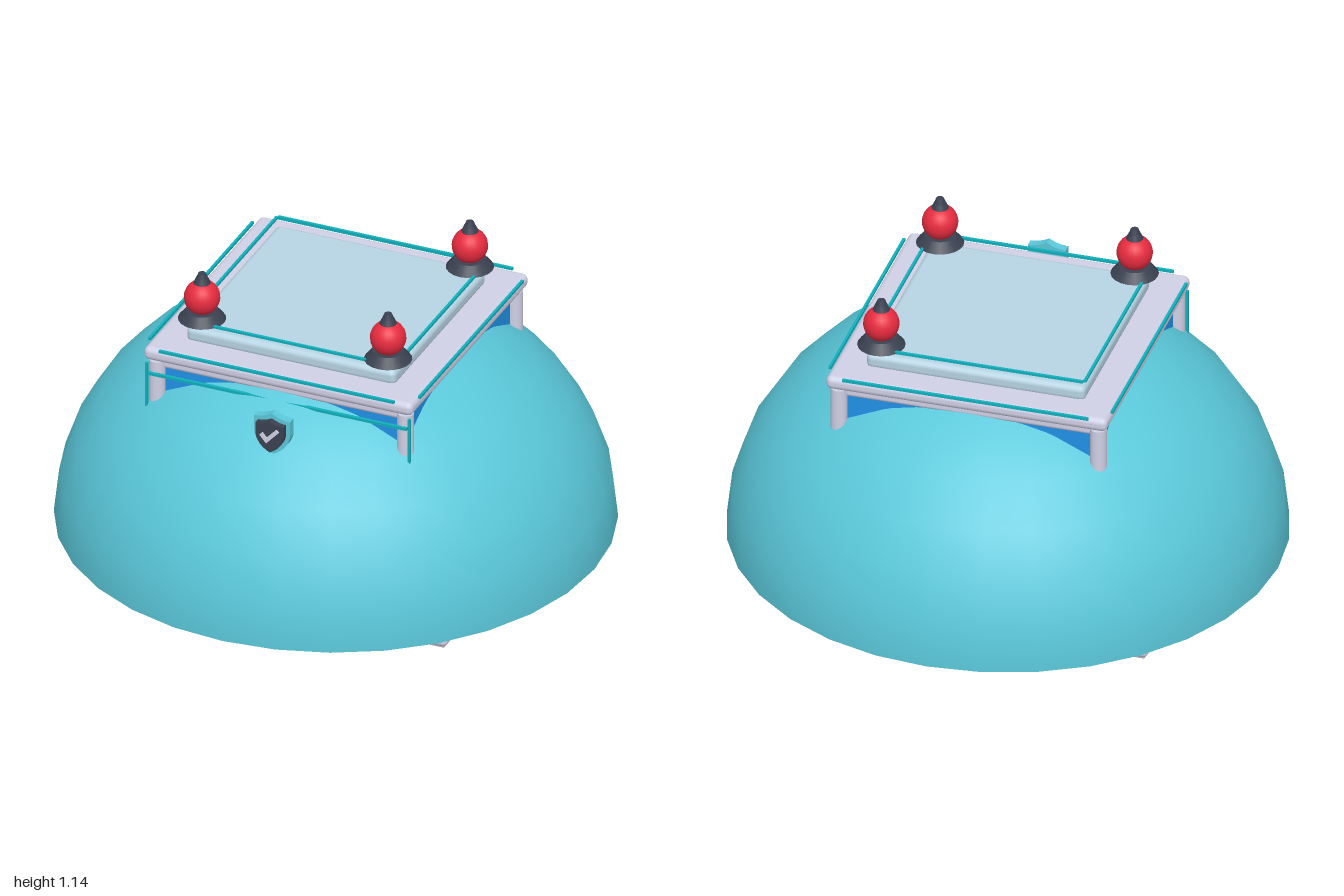
import * as THREE from 'three';
import { RoundedBoxGeometry } from 'three/addons/geometries/RoundedBoxGeometry.js';

const mat = (name, color, side = THREE.FrontSide) => {
  const m = new THREE.MeshStandardMaterial({ color, side });
  m.name = name;
  return m;
};

export function createModel() {
  const M = {
    dome: mat('dome teal', 0x5ac8da, THREE.DoubleSide),
    trim: mat('pale lilac', 0xd0d0e6),
    panel: mat('panel pale blue', 0xb7d3e2),
    strip: mat('strip teal', 0x10b0bc),
    red: mat('beacon red', 0xea2c40),
    dark: mat('dark slate', 0x3a4150),
    wall: mat('wall blue', 0x2092e8),
    leaf: mat('leaf green', 0x4caf50),
    yellow: mat('warning yellow', 0xf2b01c),
    ground: mat('ground grey', 0xb0b1bc),
  };
  const root = new THREE.Group();
  root.name = 'domedBuilding';

  const add = (name, geo, material, x = 0, y = 0, z = 0, parent = root) => {
    const m = new THREE.Mesh(geo, material);
    m.name = name;
    m.position.set(x, y, z);
    parent.add(m);
    return m;
  };
  const group = (name, x, y, z) => {
    const g = new THREE.Group();
    g.name = name;
    g.position.set(x, y, z);
    root.add(g);
    return g;
  };
  const box = (w, h, d) => new THREE.BoxGeometry(w, h, d);
  const rbox = (w, h, d, r) => new RoundedBoxGeometry(w, h, d, 3, r);
  const cyl = (rt, rb, h, n = 16) => new THREE.CylinderGeometry(rt, rb, h, n);
  const ball = (r) => new THREE.SphereGeometry(r, 20, 14);

  // Base slab with a grey underside
  add('baseSlab', rbox(1.415, 0.036, 1.29, 0.017), M.trim, 0, 0.024, 0);
  add('baseUnderside', box(1.39, 0.008, 1.265), M.ground, 0, 0.004, 0);
  add('baseDeck', box(1.34, 0.018, 1.22), M.trim, 0, 0.05, 0);

  // Flattened half dome, open at the bottom
  const domeGeo = new THREE.SphereGeometry(1, 32, 8, 0, Math.PI * 2, 0, Math.PI / 2);
  domeGeo.scale(1, 0.86, 1);
  add('dome', domeGeo, M.dome, 0, 0.06, 0);

  // Building walls, corner columns and roof
  add('walls', box(0.95, 0.76, 0.95), M.wall, 0, 0.43, 0);
  for (const sx of [-1, 1]) for (const sz of [-1, 1])
    add('cornerColumn', cyl(0.03, 0.03, 0.77), M.trim, sx * 0.48, 0.445, sz * 0.48);
  add('roofBeam', rbox(0.97, 0.04, 0.97, 0.015), M.trim, 0, 0.817, 0);
  add('roofSlab', rbox(1.04, 0.052, 1.04, 0.022), M.trim, 0, 0.862, 0);
  add('roofPanel', rbox(0.81, 0.06, 0.81, 0.022), M.panel, 0, 0.906, 0);

  // Thin light strips around the roof and panel
  for (let i = 0; i < 4; i++) {
    const side = group('roofStrips', 0, 0, 0);
    side.rotation.y = i * Math.PI / 2;
    add('outerStrip', box(0.91, 0.01, 0.01), M.strip, 0, 0.888, 0.522, side);
    add('innerStrip', box(0.8, 0.009, 0.01), M.strip, 0, 0.964, 0.405, side);
  }
  add('frontStrip', box(1.0, 0.01, 0.012), M.strip, 0, 0.785, 0.514);
  for (const s of [-1, 1])
    add('frontCornerStrip', box(0.01, 0.72, 0.01), M.strip, s * 0.508, 0.465, 0.511);

  // Beacons on three corners
  for (const [x, z] of [[-0.36, 0.36], [0.36, 0.36], [0.36, -0.36]]) {
    const b = group('beacon', x, -0.005, z);
    add('beaconBase', cyl(0.058, 0.086, 0.034, 20), M.dark, 0, 0.983, 0, b);
    add('beaconLamp', ball(0.065), M.red, 0, 1.052, 0, b);
    add('beaconCollar', cyl(0.022, 0.031, 0.02), M.dark, 0, 1.12, 0, b);
    add('beaconCap', cyl(0.014, 0.022, 0.022), M.dark, 0, 1.138, 0, b);
  }

  // Shield badge in front of the dome
  const shield = (s, depth) => {
    const p = new THREE.Shape();
    p.moveTo(0, 0.08 * s);
    p.quadraticCurveTo(0.035 * s, 0.06 * s, 0.07 * s, 0.06 * s);
    p.lineTo(0.07 * s, 0.0);
    p.quadraticCurveTo(0.06 * s, -0.055 * s, 0, -0.085 * s);
    p.quadraticCurveTo(-0.06 * s, -0.055 * s, -0.07 * s, 0);
    p.lineTo(-0.07 * s, 0.06 * s);
    p.quadraticCurveTo(-0.035 * s, 0.06 * s, 0, 0.08 * s);
    return new THREE.ExtrudeGeometry(p, { depth, bevelEnabled: false, curveSegments: 8 });
  };
  const badge = group('badge', 0.055, 0.757, 0);
  add('badgeBack', shield(1, 0.032), M.dome, 0, 0, 0.657, badge);
  add('badgeFace', shield(0.77, 0.024), M.dark, 0, 0, 0.688, badge);
  const tick = new THREE.Shape([
    [-0.036, 0.002], [-0.026, 0.012], [-0.01, -0.006], [0.028, 0.034], [0.038, 0.024], [-0.01, -0.028],
  ].map(([x, y]) => new THREE.Vector2(x, y)));
  add('badgeTick', new THREE.ExtrudeGeometry(tick, { depth: 0.008, bevelEnabled: false }), M.trim, 0, 0, 0.711, badge);

  // Striped barrier along the front edge
  for (const x of [-0.39, -0.16, 0.215, 0.475]) {
    add('barrierPost', cyl(0.014, 0.014, 0.1, 10), M.dark, x, 0.06, 0.652);
    add('barrierFoot', cyl(0.018, 0.02, 0.012, 12), M.dark, x, 0.014, 0.652);
    add('barrierPostBand', cyl(0.019, 0.019, 0.012, 10), M.yellow, x, 0.034, 0.652);
  }
  add('barrierBar', box(0.88, 0.028, 0.01), M.dark, 0.04, 0.055, 0.642);
  const stripes = 26;
  for (let i = 0; i < stripes; i++)
    add('barrierStripe', box(0.021, 0.029, 0.014), M.yellow, -0.4 + 0.88 * (i + 0.5) / stripes, 0.055, 0.642);

  // Red rails along the back edge
  for (const y of [0.064, 0.08]) add('backRail', box(1.36, 0.01, 0.012), M.red, 0, y, -0.62);
  for (let i = 0; i < 8; i++) add('backRailPost', box(0.012, 0.035, 0.01), M.dark, -0.665 + i * 0.19, 0.07, -0.608);

  // Round trees: x, z, crown height, crown radius
  for (const [x, z, h, r] of [[0.6, 0.41, 0.26, 0.085], [0.62, 0.585, 0.2, 0.072],
    [-0.3, -0.57, 0.22, 0.075], [-0.53, -0.57, 0.155, 0.07]]) {
    const t = group('roundTree', x, 0, z);
    add('trunk', cyl(0.016, 0.022, h - 0.055), M.dark, 0, 0.055 + (h - 0.055) / 2, 0, t);
    add('crown', ball(r), M.leaf, 0, h, 0, t);
    add('crownTop', ball(r * 0.72), M.leaf, 0.02, h + r * 0.7, -0.01, t);
  }

  // Conifer with stacked cones
  const conifer = group('conifer', 0.27, 0, -0.57);
  add('trunk', cyl(0.016, 0.02, 0.08), M.dark, 0, 0.095, 0, conifer);
  for (let i = 0; i < 3; i++)
    add('coniferTier', cyl(0.006, 0.07 - i * 0.015, 0.09), M.leaf, 0, 0.15 + i * 0.05, 0, conifer);

  // Corner lamps
  for (const [x, z, h] of [[-0.63, -0.58, 0.285], [0.635, 0.615, 0.345]]) {
    const l = group('lamp', x, 0, z);
    add('lampPole', cyl(0.01, 0.013, h - 0.06, 10), M.dark, 0, 0.06 + (h - 0.06) / 2, 0, l);
    add('lampLight', cyl(0.026, 0.02, 0.05, 10), M.yellow, 0, h, 0, l);
    add('lampCap', cyl(0.008, 0.034, 0.018, 10), M.dark, 0, h + 0.034, 0, l);
  }
  return root;
}
